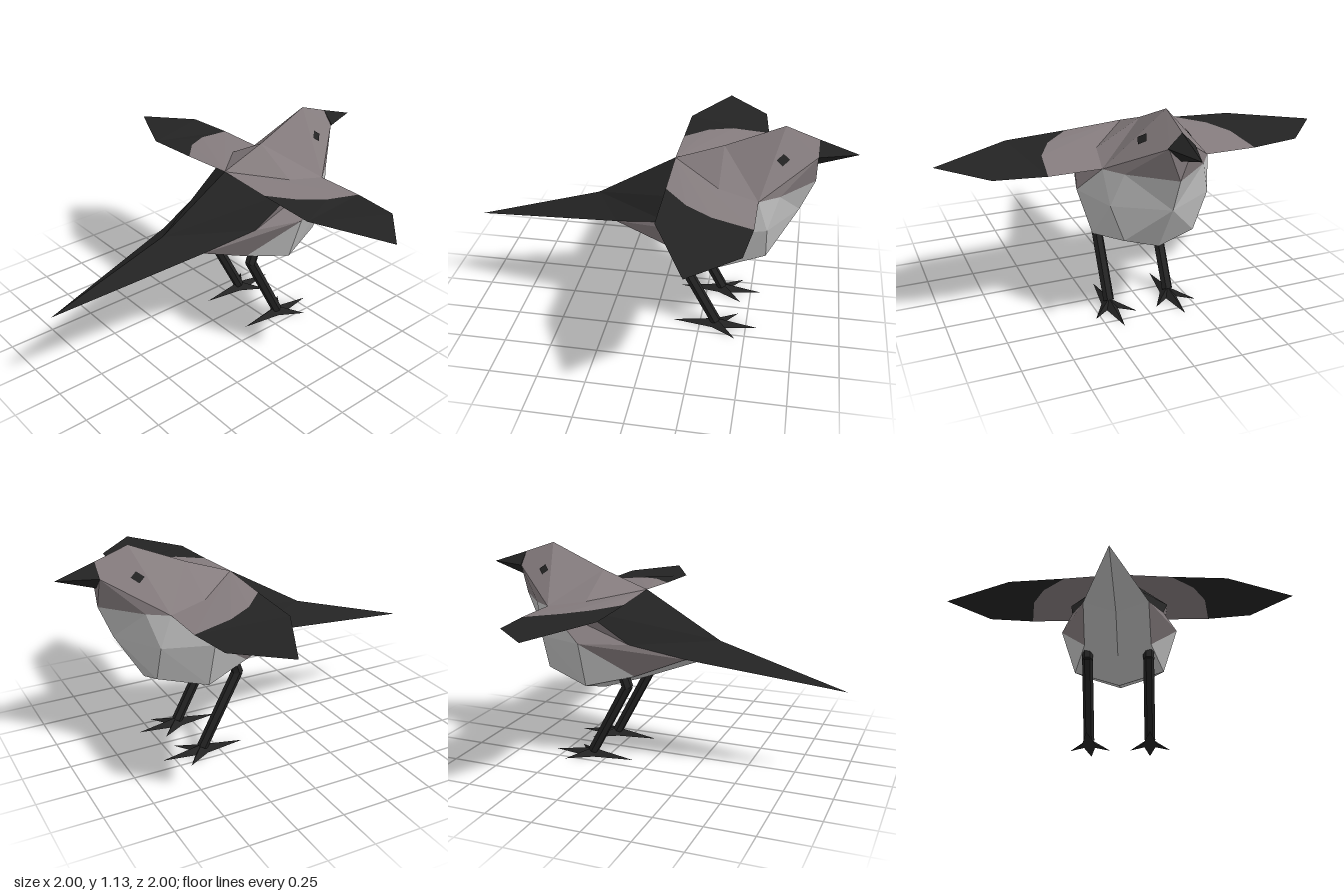
import * as THREE from 'three';

const mat = (name, color) => Object.assign(
  new THREE.MeshStandardMaterial({ color, flatShading: true, side: THREE.DoubleSide }), { name });

// Flat-shaded mesh from triangles given as corner triples
function triMesh(name, tris, material) {
  const geo = new THREE.BufferGeometry();
  geo.setAttribute('position', new THREE.Float32BufferAttribute(tris.flat(2), 3));
  geo.computeVertexNormals();
  const mesh = new THREE.Mesh(geo, material);
  mesh.name = name;
  return mesh;
}

const fan = pts => pts.slice(2).map((p, i) => [pts[0], pts[i + 1], p]);

// Turns a +z triangle outward, then adds its mirror image
function bothSides(tris) {
  return tris.flatMap(([a, b, c]) => {
    const area = (b[0] - a[0]) * (c[1] - a[1]) - (b[1] - a[1]) * (c[0] - a[0]);
    const t = area < 0 ? [a, c, b] : [a, b, c];
    return [t, [t[0], t[2], t[1]].map(([x, y, z]) => [x, y, -z])];
  });
}

function strut(name, a, b, radius, material) {
  const from = new THREE.Vector3(...a), to = new THREE.Vector3(...b);
  const dir = to.clone().sub(from);
  const mesh = new THREE.Mesh(new THREE.CylinderGeometry(radius, radius, dir.length(), 6), material);
  mesh.position.copy(from).add(to).multiplyScalar(0.5);
  mesh.quaternion.setFromUnitVectors(new THREE.Vector3(0, 1, 0), dir.normalize());
  mesh.name = name;
  return mesh;
}

// Body corners on the centre line and the +z half
const V = {
  tailTip: [-1, 0.47, 0], rump: [-0.33, 0.67, 0], tailSide: [-0.2, 0.6, 0.17], tailUnder: [-0.2, 0.54, 0],
  back: [0.08, 0.91, 0], nape: [0.33, 1, 0], crown: [0.63, 1.13, 0],
  browTop: [0.8, 1.07, 0], browSide: [0.8, 1, 0.06], chin: [0.8, 0.94, 0], throat: [0.8, 0.84, 0],
  shoulder: [0.33, 0.84, 0.28], neck: [0.53, 0.84, 0.27], cheek: [0.63, 0.84, 0.2],
  flank: [0.08, 0.67, 0.25], hip: [0.08, 0.48, 0.18], vent: [0.1, 0.42, 0],
  side: [0.33, 0.67, 0.33], lowSide: [0.33, 0.42, 0.25], belly: [0.33, 0.34, 0],
  breastSide: [0.58, 0.67, 0.25], breastLow: [0.58, 0.48, 0.18], breastUnder: [0.58, 0.42, 0], breast: [0.73, 0.67, 0],
};
const faces = list => bothSides(list.flatMap(s => fan(s.split(' ').map(k => V[k]))));

export function createModel() {
  const black = mat('black', 0x232323);
  const mauve = mat('mauve grey', 0x857c7e);
  const pale = mat('pale grey', 0xc2c2c2);
  const bird = new THREE.Group();
  bird.name = 'bird';

  // Body, split by colour
  bird.add(triMesh('backAndTail', faces([
    'tailTip tailSide rump', 'rump tailSide flank', 'rump flank shoulder', 'rump shoulder back',
  ]), black));
  bird.add(triMesh('headAndFlanks', faces([
    'back shoulder nape', 'nape shoulder neck', 'nape neck crown', 'crown neck browSide',
    'crown browSide browTop', 'browSide neck cheek', 'browSide cheek throat', 'browSide throat chin',
    'flank side neck shoulder', 'tailSide hip side flank',
  ]), mauve));
  bird.add(triMesh('belly', faces([
    'neck breastSide cheek', 'side breastSide neck', 'cheek breastSide breast', 'cheek breast throat',
    'hip lowSide side', 'lowSide breastLow breastSide side', 'breastLow breast breastSide',
    'breastLow breastUnder breast', 'belly breastUnder breastLow lowSide',
    'hip vent belly lowSide', 'tailSide tailUnder vent hip', 'tailTip tailUnder tailSide',
  ]), pale));

  // Beak
  const beak = new THREE.Mesh(new THREE.ConeGeometry(0.067, 0.2, 4), black);
  beak.rotation.z = -Math.PI / 2;
  beak.position.set(0.9, 1.003, 0);
  beak.name = 'beak';
  bird.add(beak);

  // Eyes, thin diamonds lying on the slope of the head
  const eye = [[-0.032, 0], [0, -0.024], [0.032, 0], [0, 0.024]].map(([dx, dy]) =>
    [0.63 + dx, 1 + dy, 0.116 - 0.284 * dx - 0.833 * dy]);
  bird.add(triMesh('eyes', bothSides(fan(eye)), black));

  // Wings: thin sheets with a coloured root and dark feathers
  const rear = [0.08, 0.89, 0.3], mid1 = [0.2, 0.88, 0.43], mid2 = [0.33, 0.867, 0.5], lead = [0.53, 0.84, 0.53];
  for (const s of [1, -1]) {
    const side = s > 0 ? 'right' : 'left';
    const flip = tris => tris.map(t => {
      const m = t.map(([x, y, z]) => [x, y, z * s]);
      return s > 0 ? m : m.reverse();
    });
    bird.add(triMesh(side + 'WingRoot', flip(fan([V.back, rear, mid1, mid2, lead, [0.53, 0.84, 0.24]])), mauve));
    bird.add(triMesh(side + 'WingTip', flip(fan([
      [0.08, 0.875, 0.61], [0.27, 0.855, 1], [0.5, 0.845, 0.78], lead, mid2, mid1, rear,
    ])), black));

    // Legs with a short thigh
    const z = 0.166 * s;
    const leg = new THREE.Group();
    leg.name = side + 'Leg';
    leg.add(strut('thigh', [0.15, 0.48, z], [0.125, 0.41, z], 0.03, black));
    leg.add(strut('shin', [0.125, 0.42, z], [0.335, 0.025, z], 0.029, black));

    // Star-shaped foot: three toes forward, one back
    const ring = [[0.56, 0], [0.39, -0.03], [0.45, -0.112], [0.32, -0.035], [0.1, 0],
      [0.32, 0.035], [0.45, 0.112], [0.39, 0.03]].map(([x, dz]) => [x, 0, z + dz]);
    const star = ring.flatMap((p, i) => {
      const q = ring[(i + 1) % ring.length];
      return [[[0.34, 0.038, z], p, q], [[0.34, 0, z], q, p]];
    });
    leg.add(triMesh('foot', star, black));
    bird.add(leg);
  }
  return bird;
}
